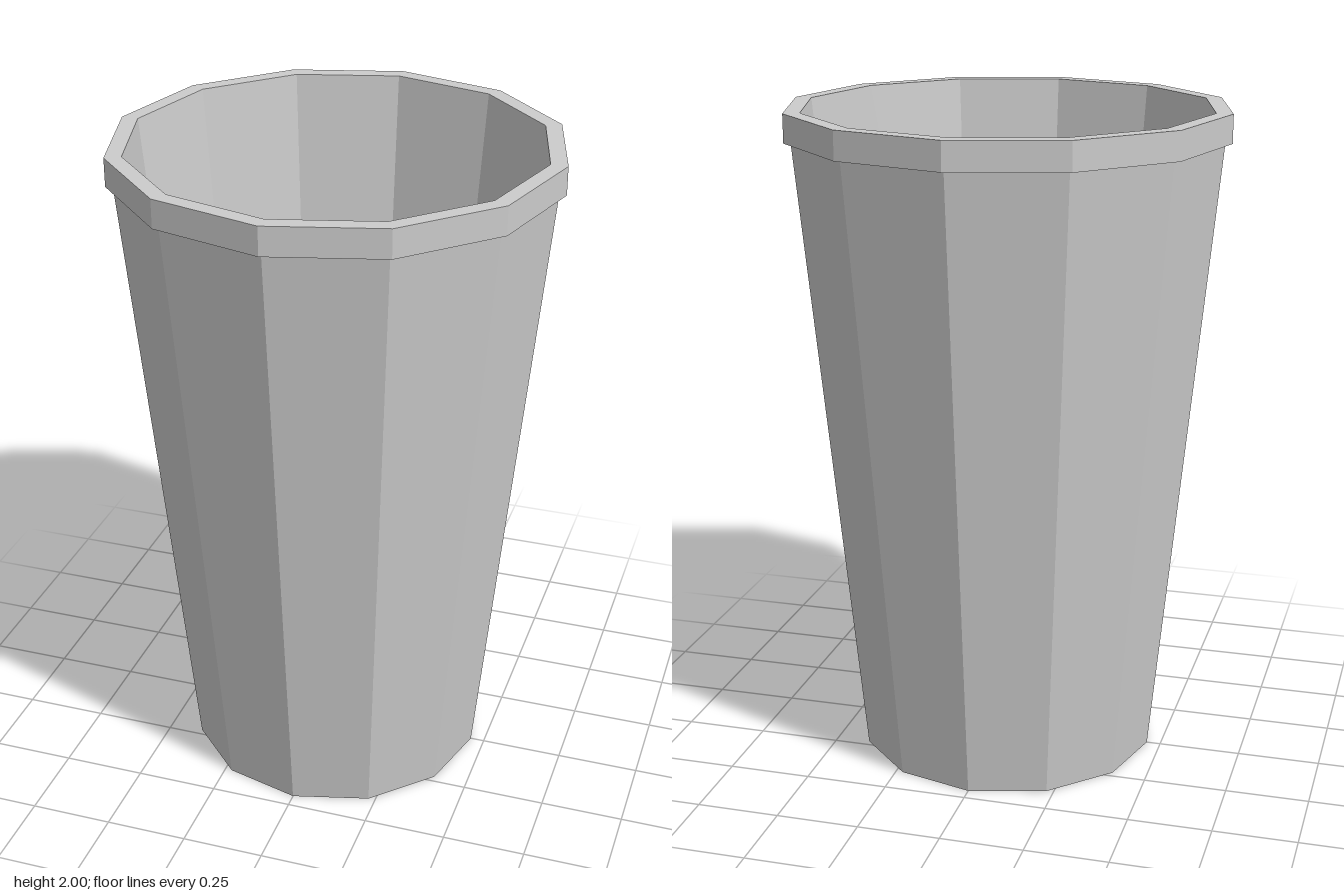
import * as THREE from 'three';

const SIDES = 12;
const material = new THREE.MeshStandardMaterial({ color: 0xcccccc, flatShading: true });

// Faceted ring of surfaces turned from a [radius, height] profile
function turned(name, profile) {
  const points = profile.map(([r, y]) => new THREE.Vector2(r, y));
  const geometry = new THREE.LatheGeometry(points, SIDES).toNonIndexed();
  geometry.computeVertexNormals();
  const mesh = new THREE.Mesh(geometry, material);
  mesh.name = name;
  return mesh;
}

export function createModel() {
  const cup = new THREE.Group();
  cup.name = 'cup';

  // Underside and tapering outer wall
  cup.add(turned('outerWall', [[0, 0], [0.457, 0], [0.642, 1.915]]));

  // Raised band around the mouth
  cup.add(turned('rim', [[0.642, 1.915], [0.663, 1.915], [0.663, 2], [0.613, 2]]));

  // Hollow inside, down to the floor
  cup.add(turned('innerWall', [[0.613, 2], [0.422, 0.025], [0, 0.025]]));

  return cup;
}
